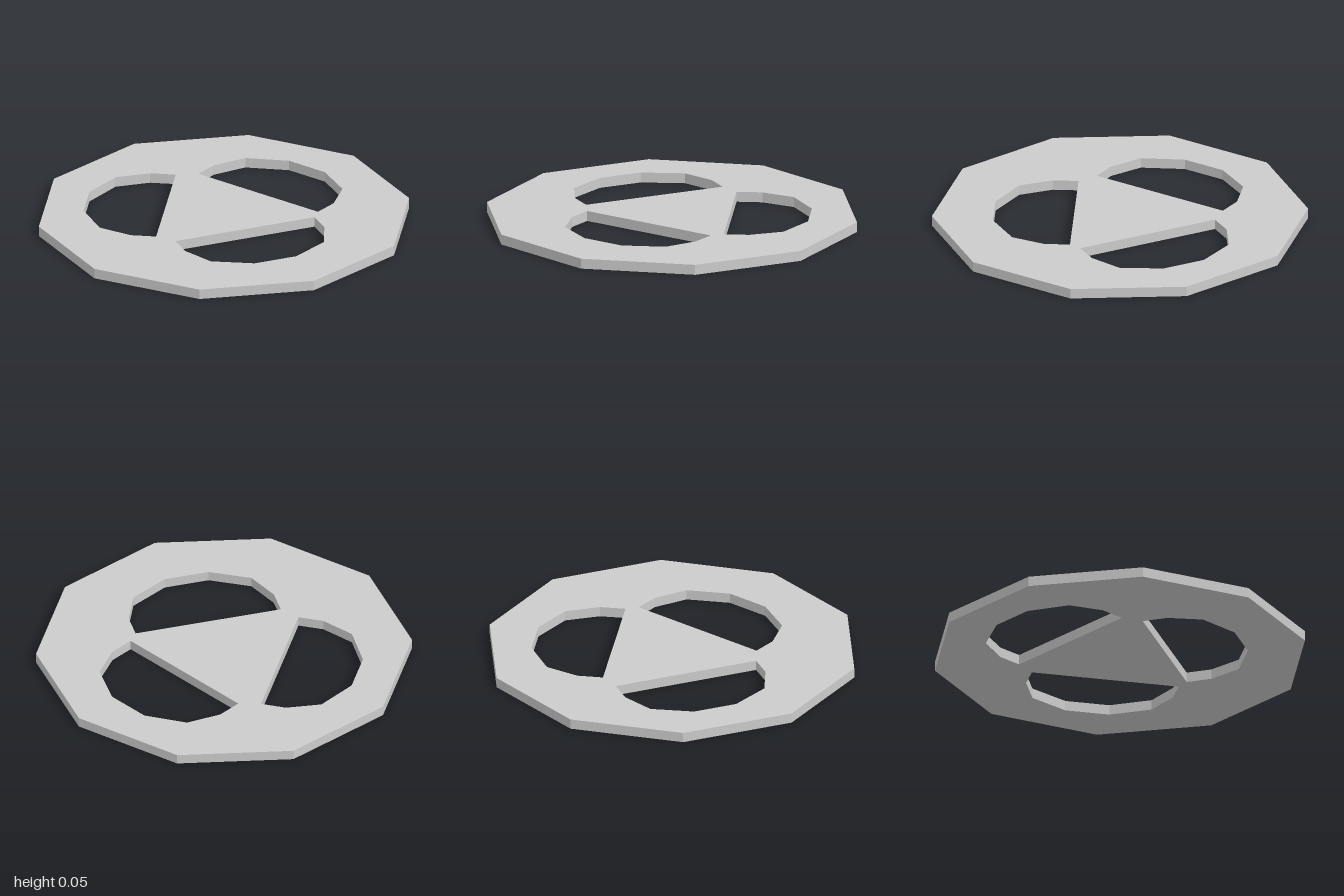
import * as THREE from 'three';

const HEIGHT = 0.055;

// Half outline of one cut-out: [distance along the chord, distance outward]
const HALF_HOLE = [[0.4, 0], [0.4, 0.137], [0.325, 0.312], [0.12, 0.425]];

// Chord midpoint (x, z) and outward angle of each cut-out
const HOLES = [
  { x: -0.317, z: -0.045, angle: Math.PI },
  { x: 0.147, z: -0.272, angle: -Math.PI / 3 },
  { x: 0.138, z: 0.2, angle: Math.PI / 3 },
];

function holePath({ x, z, angle }) {
  const mirrored = HALF_HOLE.map(([u, d]) => [-u, d]).reverse();
  const c = Math.cos(angle), s = Math.sin(angle);
  return new THREE.Path([...HALF_HOLE, ...mirrored].map(
    ([u, d]) => new THREE.Vector2(x + d * c - u * s, z + d * s + u * c)
  ));
}

export function createModel() {
  const group = new THREE.Group();
  group.name = 'slottedDisc';

  // Ten-sided outline with corners at the front and back
  const corners = [];
  for (let i = 0; i < 10; i++) {
    const a = (i / 10) * Math.PI * 2 + Math.PI / 2;
    corners.push(new THREE.Vector2(Math.cos(a), Math.sin(a)));
  }
  const outline = new THREE.Shape(corners);
  outline.holes = HOLES.map(holePath);

  // Lay the plate flat, standing on the ground
  const geometry = new THREE.ExtrudeGeometry(outline, { depth: HEIGHT, bevelEnabled: false });
  geometry.rotateX(Math.PI / 2);
  geometry.translate(0, HEIGHT, 0);

  const plate = new THREE.Mesh(
    geometry,
    new THREE.MeshStandardMaterial({ color: 0xcccccc, flatShading: true })
  );
  plate.name = 'plate';
  group.add(plate);
  return group;
}
